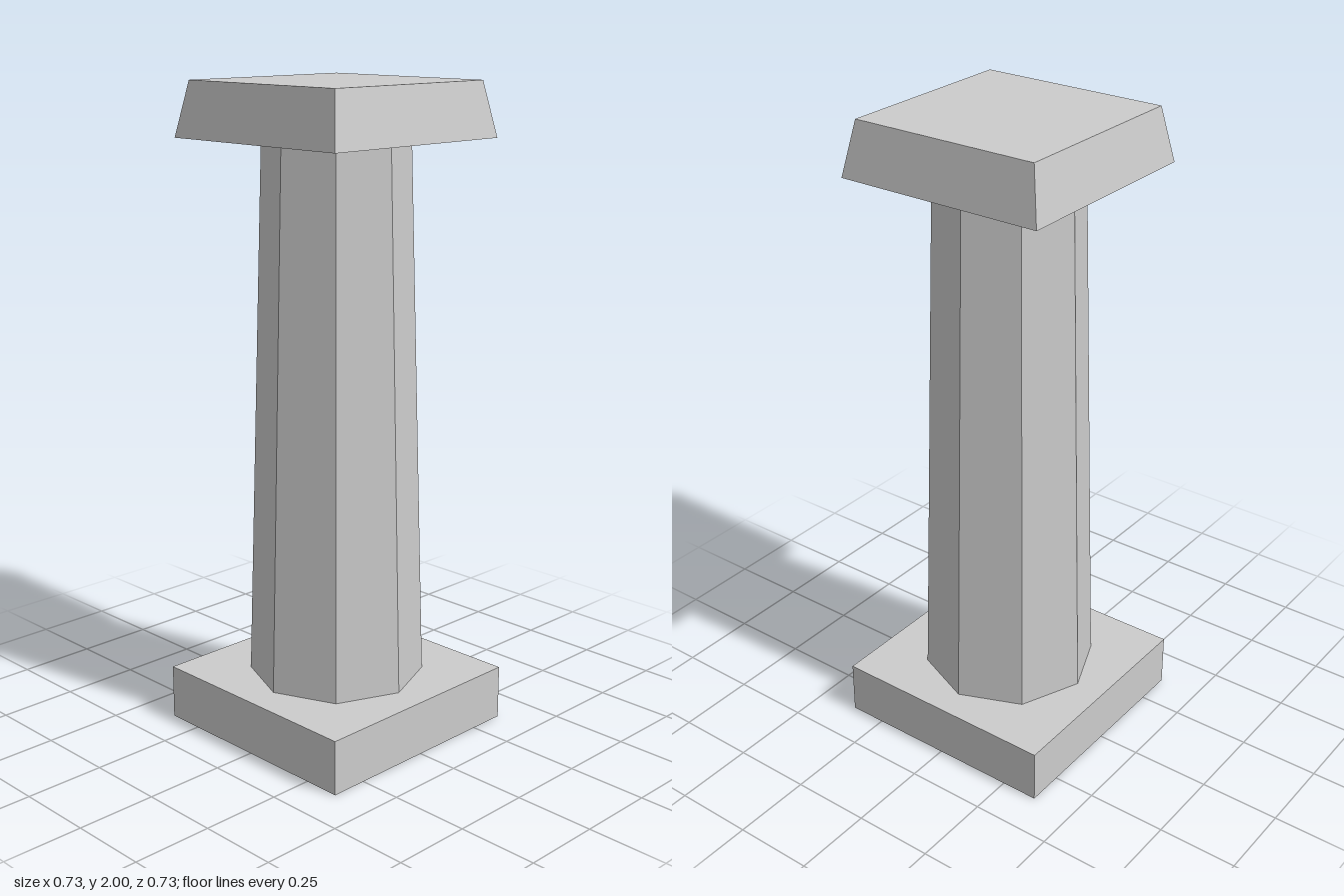
import * as THREE from 'three';

const material = new THREE.MeshStandardMaterial({ color: 0xcccccc, flatShading: true });

// Straight tapered prism with a regular polygon section, standing on y0.
function prism(name, topRadius, bottomRadius, y0, y1, sides, turn = 0) {
  const geometry = new THREE.CylinderGeometry(topRadius, bottomRadius, y1 - y0, sides);
  geometry.rotateY(turn);
  geometry.translate(0, (y0 + y1) / 2, 0);
  const mesh = new THREE.Mesh(geometry, material);
  mesh.name = name;
  return mesh;
}

export function createModel() {
  const group = new THREE.Group();
  group.name = 'column';
  const baseTop = 0.17, capBottom = 1.835;
  const corner = Math.SQRT2; // half side of a square to its corner radius

  // Square plinth
  group.add(prism('base', 0.367 * corner, 0.367 * corner, 0, baseTop, 4, Math.PI / 4));

  // Tapering octagonal shaft with an edge facing the front
  const shaft = prism('shaft', 0.22, 0.272, baseTop, capBottom, 8);
  shaft.position.x = 0.002;
  group.add(shaft);

  // Square capital, narrower at the top
  group.add(prism('capital', 0.3 * corner, 0.332 * corner, capBottom, 2, 4, Math.PI / 4));

  return group;
}
